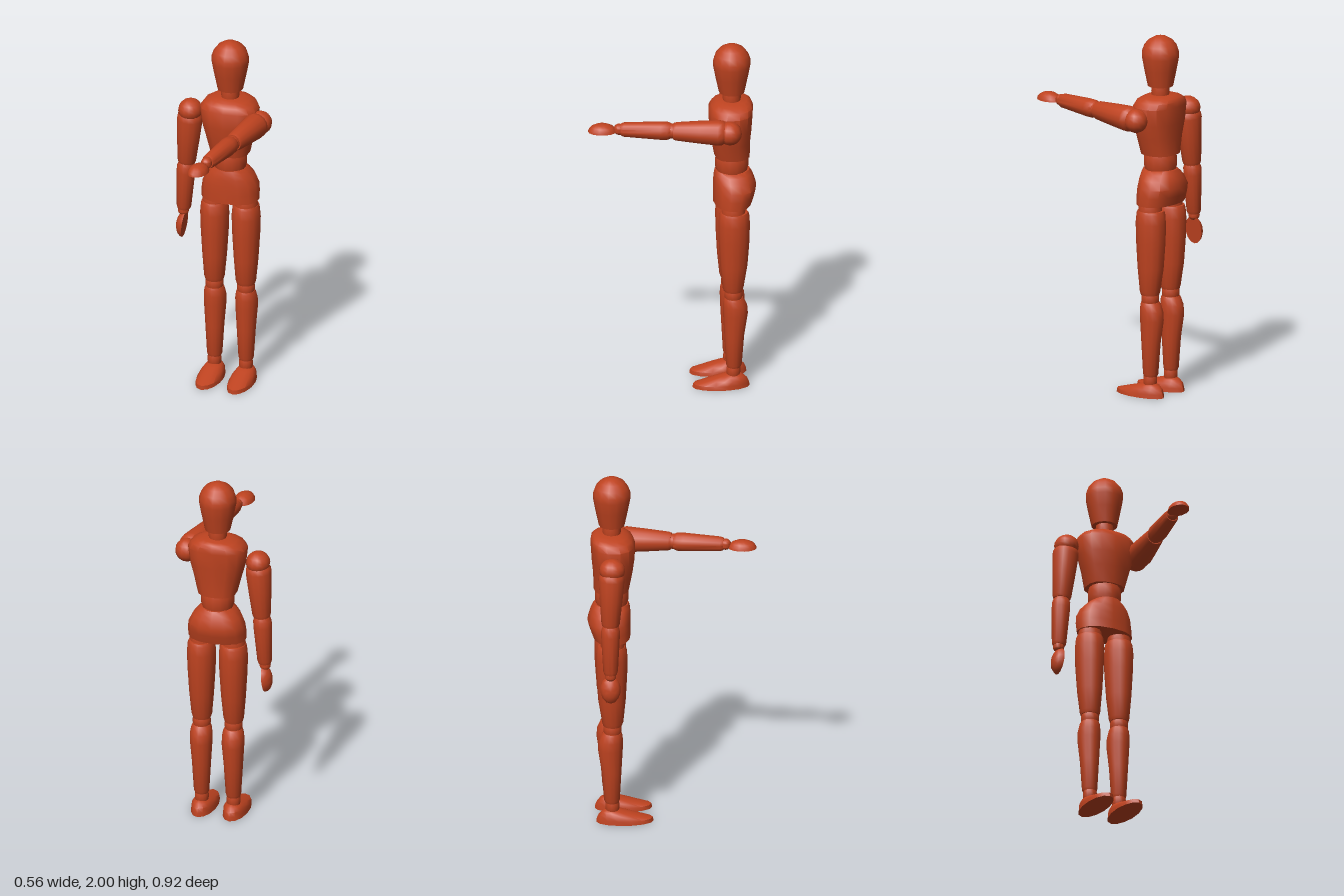
import * as THREE from 'three';
import { toCreasedNormals } from 'three/addons/utils/BufferGeometryUtils.js';

const SIDES = 14;
const CX = 0.033; // body axis in x
const CZ = -0.327; // body axis in z

export function createModel() {
  const wood = new THREE.MeshStandardMaterial({ color: 0xbf4320 });
  wood.name = 'red wood';
  const model = new THREE.Group();
  model.name = 'artistMannequin';

  function add(name, geometry) {
    const mesh = new THREE.Mesh(toCreasedNormals(geometry, 0.75), wood);
    mesh.name = name;
    model.add(mesh);
    return mesh;
  }

  // Closed upright form from rings [y, half width, front z, back z]; square < 1 boxes the section
  function loft(name, x, rings, square = 1) {
    const first = rings[0], last = rings[rings.length - 1];
    const mid = (r) => (r[2] + r[3]) / 2;
    const all = [[first[0], 0, mid(first), mid(first)], ...rings, [last[0], 0, mid(last), mid(last)]];
    const geo = new THREE.LatheGeometry(all.map((r) => new THREE.Vector2(1, r[0])), SIDES);
    const pos = geo.attributes.position;
    const bend = (v) => (Math.abs(v) < 1e-6 ? 0 : Math.sign(v) * Math.abs(v) ** square);
    for (let i = 0; i < pos.count; i++) {
      const [y, rx, zf, zb] = all[i % all.length];
      const a = (Math.floor(i / all.length) / SIDES) * Math.PI * 2;
      pos.setXYZ(i, x + rx * bend(Math.sin(a)), y, (zf + zb) / 2 + ((zf - zb) / 2) * bend(Math.cos(a)));
    }
    return add(name, geo);
  }

  // Round upright form from [y, radius] pairs
  const turned = (name, x, z, rings) => loft(name, x, rings.map(([y, r]) => [y, r, z + r, z - r]));

  // Tapered limb from a to b, profile as [fraction of length, radius]
  function limb(name, a, b, profile) {
    const start = new THREE.Vector3(...a);
    const dir = new THREE.Vector3(...b).sub(start);
    const len = dir.length();
    const pts = profile.map(([t, r]) => new THREE.Vector2(r, t * len));
    pts.unshift(new THREE.Vector2(0, 0));
    pts.push(new THREE.Vector2(0, len));
    const mesh = add(name, new THREE.LatheGeometry(pts, SIDES));
    mesh.position.copy(start);
    mesh.quaternion.setFromUnitVectors(new THREE.Vector3(0, 1, 0), dir.normalize());
  }

  function ball(name, p, r, scale = [1, 1, 1]) {
    const mesh = add(name, new THREE.SphereGeometry(r, SIDES, 10));
    mesh.position.set(...p);
    mesh.scale.set(...scale);
  }

  // Half-egg hand with a flat palm; back = direction of the domed side
  function hand(name, p, back, along) {
    const pts = [[0, 0], [1, 0], [0.95, 0.3], [0.78, 0.64], [0.45, 0.9], [0, 1]];
    const geo = new THREE.LatheGeometry(pts.map(([x, y]) => new THREE.Vector2(x, y)), SIDES);
    geo.scale(0.055, 0.045, 0.078);
    const y = new THREE.Vector3(...back).normalize();
    const z = new THREE.Vector3(...along).normalize();
    const x = new THREE.Vector3().crossVectors(y, z);
    const mesh = add(name, geo);
    mesh.quaternion.setFromRotationMatrix(new THREE.Matrix4().makeBasis(x, y, z));
    mesh.position.set(...p);
  }

  // Head and trunk
  turned('head', CX, CZ, [[1.72, 0.07], [1.81, 0.089], [1.88, 0.102], [1.91, 0.102],
    [1.945, 0.09], [1.975, 0.066], [1.994, 0.033], [2, 0.008]]);
  turned('neck', CX, CZ, [[1.65, 0.045], [1.69, 0.051], [1.725, 0.046]]);
  loft('chest', CX, [
    [1.345, 0.107, -0.232, -0.425], [1.44, 0.13, -0.214, -0.428], [1.52, 0.152, -0.203, -0.436],
    [1.615, 0.163, -0.2, -0.442], [1.645, 0.142, -0.215, -0.441], [1.662, 0.11, -0.24, -0.43],
    [1.672, 0.075, -0.265, -0.41],
  ], 0.82);
  turned('waist', CX, CZ, [[1.255, 0.085], [1.28, 0.091], [1.325, 0.091], [1.35, 0.085]]);
  loft('pelvis', CX, [
    [1.07, 0.16, -0.225, -0.432], [1.12, 0.16, -0.224, -0.449], [1.165, 0.155, -0.224, -0.46],
    [1.21, 0.134, -0.226, -0.447], [1.24, 0.107, -0.229, -0.436], [1.26, 0.08, -0.234, -0.424],
  ], 0.9);

  // Legs
  for (const [side, s] of [['left', 1], ['right', -1]]) {
    const x = CX + s * 0.09;
    turned(side + 'Hip', x, CZ, [[1.02, 0.064], [1.05, 0.066], [1.085, 0.058]]);
    loft(side + 'Thigh', x, [
      [0.57, 0.05, -0.275, -0.377], [0.59, 0.056, -0.268, -0.383], [0.72, 0.067, -0.255, -0.404],
      [0.87, 0.076, -0.247, -0.415], [0.97, 0.079, -0.245, -0.417], [1.025, 0.074, -0.25, -0.413],
      [1.04, 0.068, -0.257, -0.406],
    ]);
    turned(side + 'Knee', x, CZ, [[0.515, 0.043], [0.535, 0.049], [0.56, 0.049], [0.58, 0.043]]);
    loft(side + 'Shin', x, [
      [0.115, 0.037, -0.292, -0.367], [0.13, 0.042, -0.287, -0.373], [0.3, 0.052, -0.278, -0.386],
      [0.43, 0.061, -0.271, -0.406], [0.48, 0.061, -0.27, -0.402], [0.515, 0.055, -0.273, -0.387],
      [0.528, 0.049, -0.278, -0.378],
    ]);
    turned(side + 'Ankle', x, CZ, [[0.06, 0.033], [0.08, 0.038], [0.105, 0.038], [0.125, 0.033]]);
    loft(side + 'Foot', x, [
      [0, 0.068, -0.104, -0.415], [0.022, 0.066, -0.108, -0.412], [0.045, 0.059, -0.19, -0.402],
      [0.063, 0.045, -0.255, -0.385], [0.075, 0.026, -0.3, -0.36],
    ]);
  }

  // Arms: the right hangs down, the left reaches forward
  const upperArm = [[0, 0.055], [0.06, 0.068], [0.14, 0.071], [0.5, 0.063], [0.95, 0.051], [1, 0.046]];
  const foreArm = [[0, 0.042], [0.07, 0.05], [0.2, 0.051], [0.94, 0.04], [1, 0.034]];

  ball('rightShoulder', [-0.198, 1.553, -0.335], 0.066, [1, 0.95, 1.08]);
  limb('rightUpperArm', [-0.199, 1.54, -0.337], [-0.222, 1.235, -0.345], upperArm);
  ball('rightElbow', [-0.223, 1.232, -0.345], 0.042);
  limb('rightForearm', [-0.224, 1.232, -0.345], [-0.239, 0.955, -0.345], foreArm);
  ball('rightWrist', [-0.241, 0.945, -0.345], 0.031);
  hand('rightHand', [-0.235, 0.86, -0.345], [-0.993, 0.12, 0], [-0.12, -0.993, 0]);

  ball('leftShoulder', [0.214, 1.553, -0.3], 0.065);
  limb('leftUpperArm', [0.21, 1.555, -0.278], [0.164, 1.557, 0.002], upperArm);
  ball('leftElbow', [0.161, 1.557, 0.012], 0.042);
  limb('leftForearm', [0.159, 1.557, 0.015], [0.114, 1.557, 0.283], foreArm);
  ball('leftWrist', [0.111, 1.557, 0.293], 0.031);
  hand('leftHand', [0.096, 1.541, 0.384], [0, 1, 0], [-0.1, 0, 0.995]);

  return model;
}
